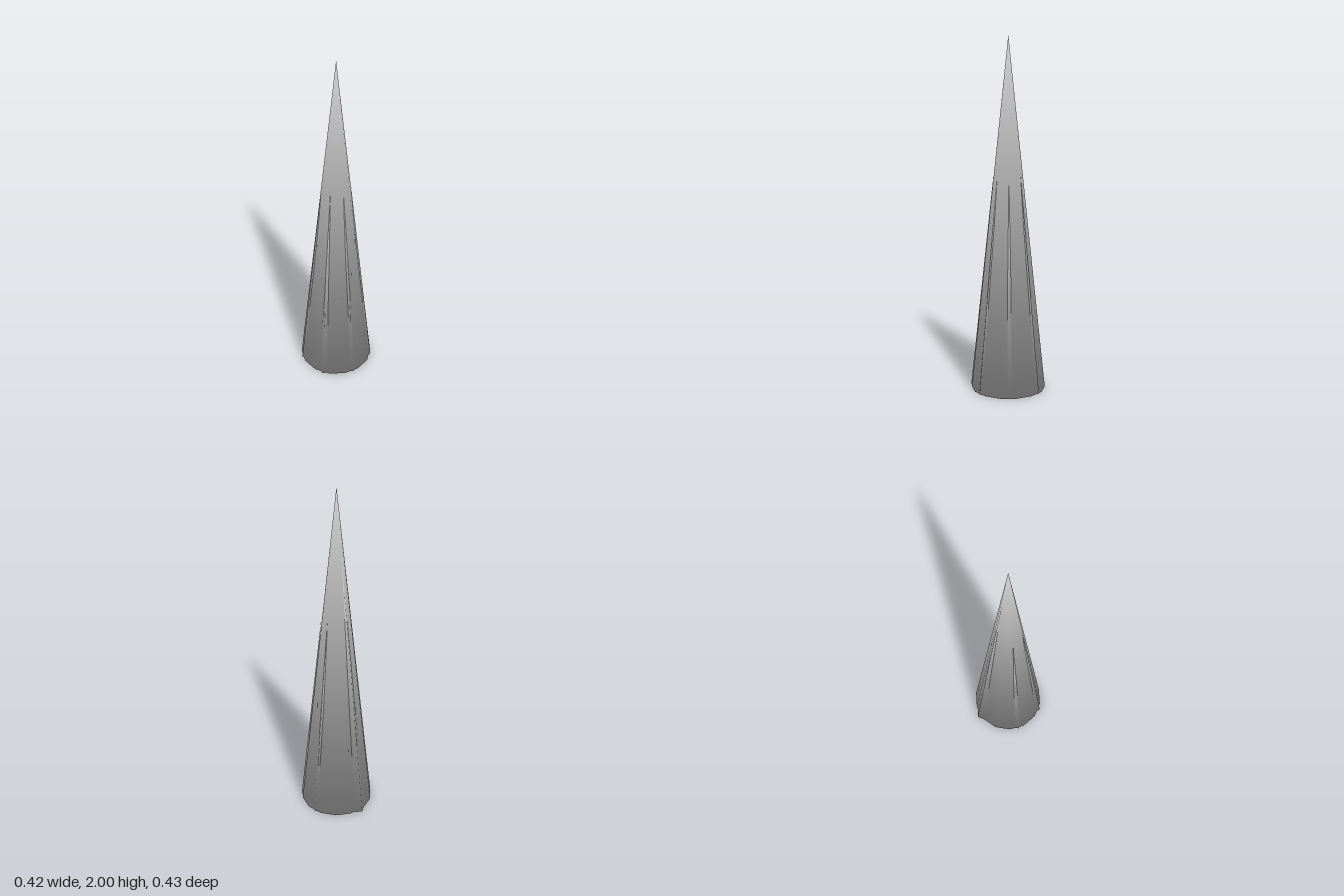
import * as THREE from 'three';
import { mergeVertices } from 'three/addons/utils/BufferGeometryUtils.js';

const material = new THREE.MeshStandardMaterial({ color: 0xcccccc, side: THREE.DoubleSide });

// Closed cone from a base centre on the ground to a (leaning) tip, shaded smoothly across the base rim
function spike(name, radius, sides, base, tip, turn = 0) {
  let geometry = new THREE.ConeGeometry(radius, 1, sides).rotateY(turn).translate(0, 0.5, 0);
  geometry.deleteAttribute('uv');
  geometry.deleteAttribute('normal');
  geometry = mergeVertices(geometry, 1e-5);

  const position = geometry.attributes.position;
  const normals = [];
  const n = new THREE.Vector3();
  for (let i = 0; i < position.count; i++) {
    const t = position.getY(i);
    const x = position.getX(i), z = position.getZ(i);
    if (t > 0.5) n.set(0, 1, 0);
    else n.set(x, -2 * radius, z).normalize();
    normals.push(n.x, n.y, n.z);
    position.setXYZ(
      i,
      x + THREE.MathUtils.lerp(base[0], tip[0], t),
      t * tip[1],
      z + THREE.MathUtils.lerp(base[1], tip[2], t)
    );
  }
  geometry.setAttribute('normal', new THREE.Float32BufferAttribute(normals, 3));

  const mesh = new THREE.Mesh(geometry, material);
  mesh.name = name;
  return mesh;
}

export function createModel() {
  const group = new THREE.Group();
  group.name = 'spire';

  // Main tall cone
  const cx = 0.004, cz = 0.005;
  group.add(spike('mainSpike', 0.21, 14, [cx, cz], [cx, 2, cz]));

  // Slim spikes lying along its flank: [outward x, outward z, base distance, radius, tip distance, tip height]
  const ribs = [
    [-0.063, -0.218, 0.195, 0.037, 0.04, 1.62],
    [0.19, -0.097, 0.193, 0.02, 0.083, 1.24],
    [0.2, 0.09, 0.193, 0.02, 0.083, 1.24],
    [0.06, 0.213, 0.193, 0.021, 0.08, 1.24],
    [-0.123, 0.18, 0.197, 0.022, 0.083, 1.24],
    [-0.21, 0.012, 0.193, 0.021, 0.085, 1.22],
  ];
  ribs.forEach(([x, z, out, radius, tipOut, height], i) => {
    const angle = Math.atan2(x - cx, z - cz);
    const at = (r) => [cx + r * Math.sin(angle), cz + r * Math.cos(angle)];
    const [tx, tz] = at(tipOut);
    group.add(spike(`flankSpike${i + 1}`, radius, 5, at(out), [tx, height, tz], angle));
  });

  return group;
}
